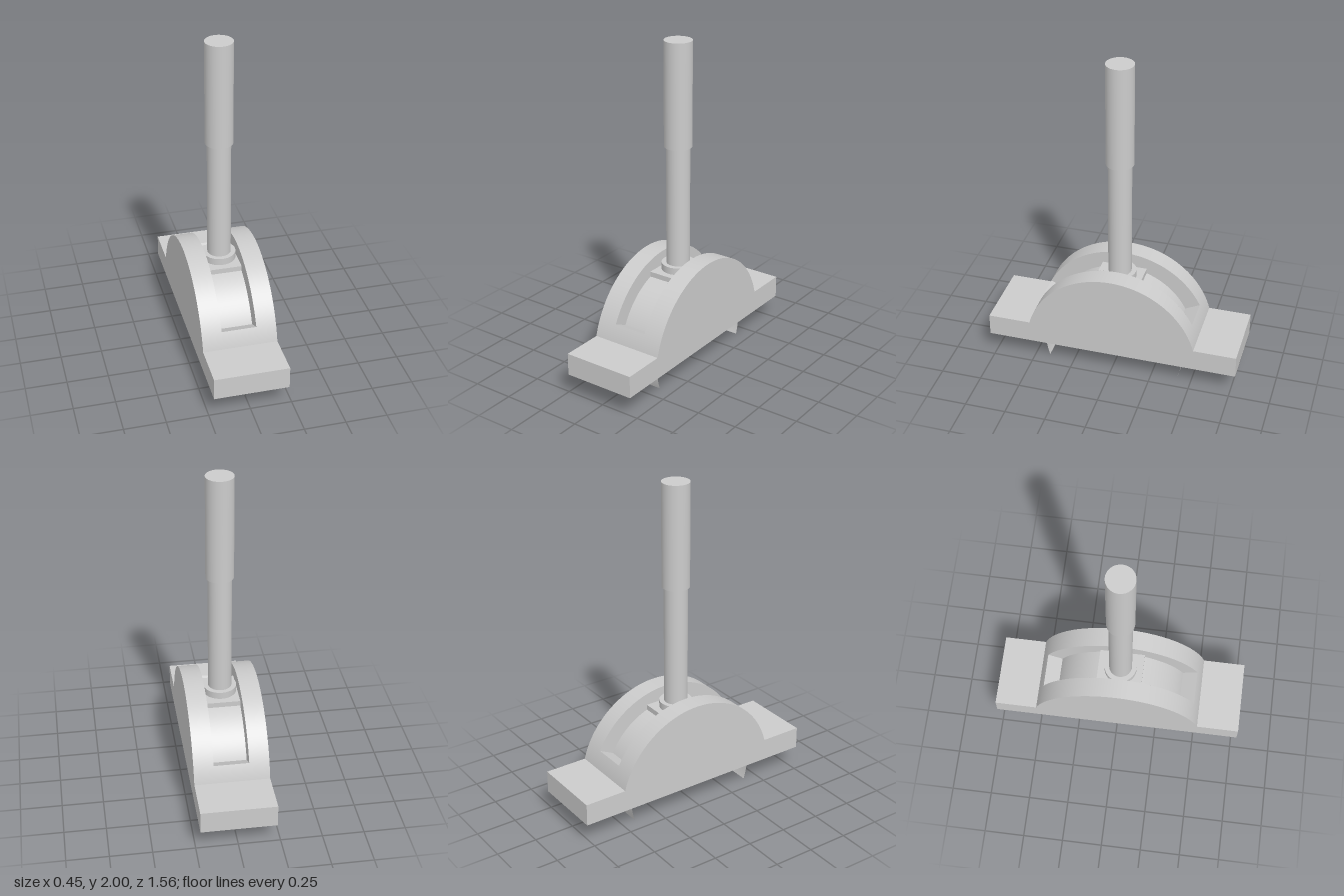
import * as THREE from 'three';

const BASE = 0.138, WING = 0.275;       // underside and top of the foot flanges
const R = 0.535, RI = 0.434;            // housing dome and inner guide radii, centred at y = BASE
const HX = 0.225, HZ = 0.78;            // housing half width and half length
const SX = 0.105, SLOT = 0.457;         // slot half width and end angle
const FOOT = Math.asin((WING - BASE) / R);

export function createModel() {
  const group = new THREE.Group();
  const solid = new THREE.MeshStandardMaterial({ color: 0xcccccc });
  const sheet = new THREE.MeshStandardMaterial({ color: 0xcccccc, side: THREE.DoubleSide });

  function add(name, geometry, material, parent = group) {
    const mesh = new THREE.Mesh(geometry, material);
    mesh.name = name;
    parent.add(mesh);
    return mesh;
  }

  // Curved strip around the x axis, from angle a0 to a1 (0 = front, PI/2 = top)
  function arcSheet(r, x0, x1, a0, a1) {
    const g = new THREE.PlaneGeometry(1, 1, Math.max(4, Math.ceil((a1 - a0) * 24)), 1);
    const p = g.attributes.position, n = g.attributes.normal;
    for (let i = 0; i < p.count; i++) {
      const a = a0 + (p.getX(i) + 0.5) * (a1 - a0);
      const x = x0 + (0.5 - p.getY(i)) * (x1 - x0);
      p.setXYZ(i, x, BASE + r * Math.sin(a), r * Math.cos(a));
      n.setXYZ(i, 0, Math.sin(a), Math.cos(a));
    }
    return g;
  }

  // Housing: thin open-bottomed shell with a slotted dome
  const housing = new THREE.Group();
  housing.name = 'housing';
  group.add(housing);

  const profile = new THREE.Shape();
  profile.moveTo(-HZ, BASE);
  profile.lineTo(HZ, BASE);
  profile.lineTo(HZ, WING);
  profile.lineTo(R * Math.cos(FOOT), WING);
  profile.absarc(0, BASE, R, FOOT, Math.PI - FOOT, false);
  profile.lineTo(-HZ, WING);
  profile.closePath();

  for (const s of [1, -1]) {
    // Side wall and the dome strip next to the slot
    const wall = add('sideWall', new THREE.ShapeGeometry(profile, 48), sheet, housing);
    wall.rotation.y = s * Math.PI / 2;
    wall.position.x = s * HX;
    add('domeSide', arcSheet(R, s > 0 ? SX : -HX, s > 0 ? HX : -SX, FOOT, Math.PI - FOOT), sheet, housing);

    // Slot side wall, facing into the slot
    const slotSide = add('slotSide',
      new THREE.RingGeometry(RI, R, 64, 1, SLOT, Math.PI - 2 * SLOT), sheet, housing);
    slotSide.rotation.y = -s * Math.PI / 2;
    slotSide.position.set(s * SX, BASE, 0);

    // Each end: dome below the slot, radial slot end, flange top and end wall
    const end = new THREE.Group();
    end.name = s > 0 ? 'frontEnd' : 'backEnd';
    end.rotation.y = s > 0 ? 0 : Math.PI;
    housing.add(end);
    add('domeEnd', arcSheet(R, -SX, SX, FOOT, SLOT), sheet, end);

    const slotEnd = add('slotEnd', new THREE.PlaneGeometry(2 * SX, R - RI), sheet, end);
    const mid = (R + RI) / 2;
    slotEnd.rotation.x = -Math.PI / 2 - SLOT;
    slotEnd.position.set(0, BASE + mid * Math.sin(SLOT), mid * Math.cos(SLOT));

    const z0 = R * Math.cos(FOOT);
    const top = add('flangeTop', new THREE.PlaneGeometry(2 * HX, HZ - z0), sheet, end);
    top.rotation.x = -Math.PI / 2;
    top.position.set(0, WING, (HZ + z0) / 2);
    const endWall = add('flangeEnd', new THREE.PlaneGeometry(2 * HX, WING - BASE), sheet, end);
    endWall.position.set(0, (WING + BASE) / 2, HZ);
  }

  // Curved guide under the slot, reaching down to the ground
  const drop = Math.asin(BASE / RI);
  add('guideSheet', arcSheet(RI, -0.16, 0.16, -drop, Math.PI + drop), sheet);

  // Lever: carrier block, collar, rod and grip
  const lever = new THREE.Group();
  lever.name = 'lever';
  group.add(lever);
  add('carrierBlock', new THREE.BoxGeometry(2 * SX, 0.032, 0.28), solid, lever).position.y = 0.566;
  for (const [name, r, y0, y1] of [
    ['collar', 0.1, 0.58, 0.625],
    ['rod', 0.071, 0.11, 1.4],
    ['grip', 0.083, 1.365, 2],
  ]) {
    add(name, new THREE.CylinderGeometry(r, r, y1 - y0, 48), solid, lever).position.y = (y0 + y1) / 2;
  }
  return group;
}
